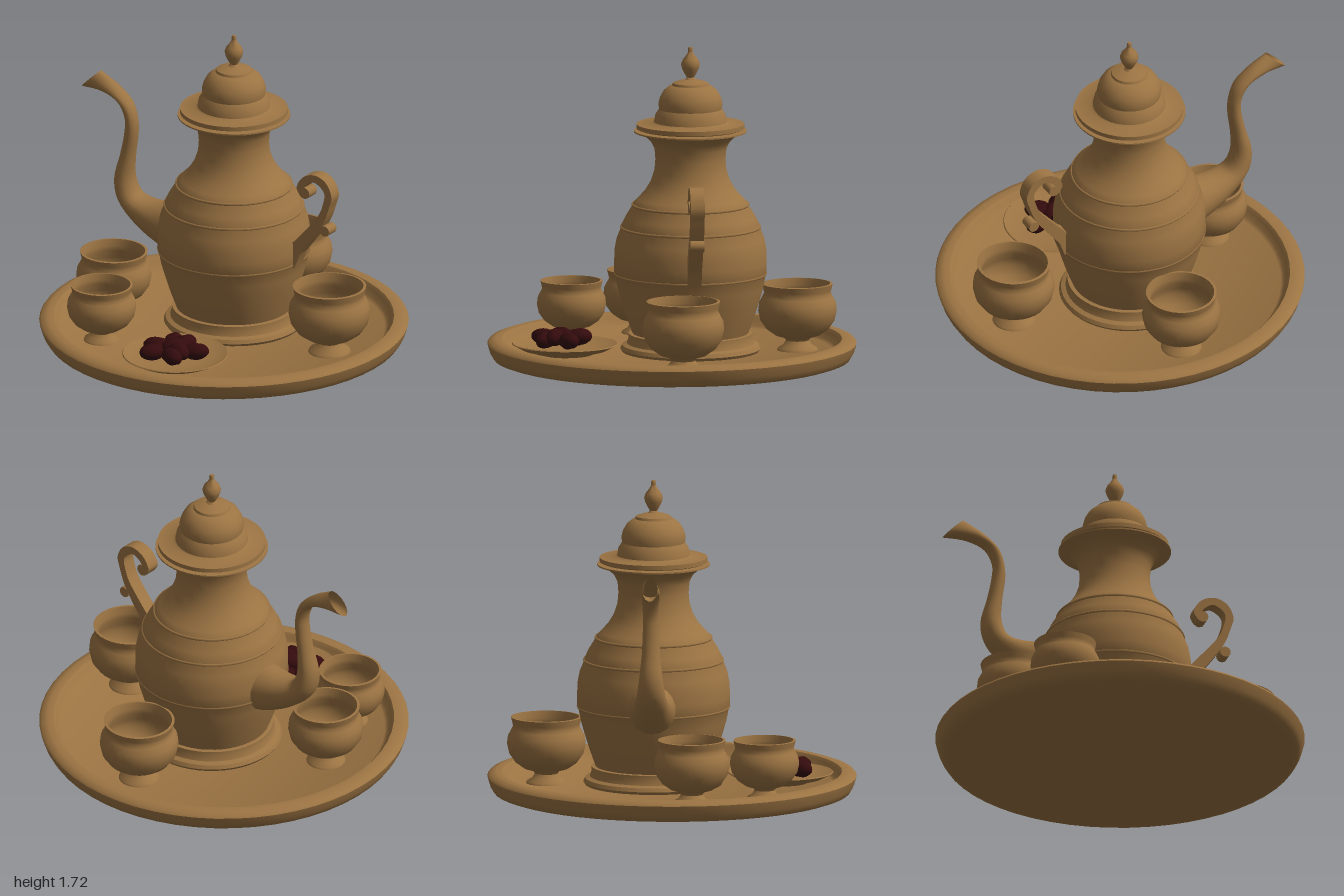
import * as THREE from 'three';
import { toCreasedNormals } from 'three/addons/utils/BufferGeometryUtils.js';

const brass = new THREE.MeshStandardMaterial({ color: 0x9c7443, side: THREE.DoubleSide });
brass.name = 'brass';
const dateSkin = new THREE.MeshStandardMaterial({ color: 0x330b0d });
dateSkin.name = 'dateSkin';

const FLOOR = 0.05;
const POT_Z = -0.1;
const vec2 = ([x, y]) => new THREE.Vector2(x, y);
const vec3 = ([x, y]) => new THREE.Vector3(x, y, 0);

function add(parent, name, geometry, material = brass) {
  const mesh = new THREE.Mesh(geometry, material);
  mesh.name = name;
  parent.add(mesh);
  return mesh;
}

// Turned part from [radius, height] points, listed from the bottom up the outside
function turned(profile, sides = 48) {
  return toCreasedNormals(new THREE.LatheGeometry(profile.map(vec2), sides), 0.7);
}

// Oval tube between an outer and an inner edge line, with half widths in z
function ovalTube(outer, inner, widths, rings = 40, sides = 18) {
  const a = new THREE.CatmullRomCurve3(outer.map(vec3));
  const b = new THREE.CatmullRomCurve3(inner.map(vec3));
  const pos = [], index = [];
  for (let i = 0; i <= rings; i++) {
    const t = i / rings;
    const p = a.getPoint(t), q = b.getPoint(t);
    const f = t * (widths.length - 1), k = Math.min(Math.floor(f), widths.length - 2);
    const w = THREE.MathUtils.lerp(widths[k], widths[k + 1], f - k);
    for (let j = 0; j < sides; j++) {
      const ang = (j / sides) * Math.PI * 2;
      const m = p.clone().lerp(q, 0.5 + 0.5 * Math.cos(ang));
      pos.push(m.x, m.y, -w * Math.sin(ang));
      if (i === rings) continue;
      const n = (j + 1) % sides, r = i * sides, s = r + sides;
      index.push(r + j, r + n, s + j, r + n, s + n, s + j);
    }
  }
  const g = new THREE.BufferGeometry();
  g.setAttribute('position', new THREE.Float32BufferAttribute(pos, 3));
  g.setIndex(index);
  g.computeVertexNormals();
  return g;
}

function buildPot() {
  const pot = new THREE.Group();
  pot.name = 'coffeePot';
  pot.position.z = POT_Z;

  add(pot, 'potBase', turned([
    [0.0, FLOOR], [0.37, FLOOR], [0.38, 0.065], [0.37, 0.085], [0.345, 0.095],
    [0.335, 0.12], [0.335, 0.148], [0.3, 0.152], [0, 0.152],
  ]));
  add(pot, 'potBody', turned([
    [0.31, 0.14], [0.325, 0.18], [0.35, 0.25], [0.375, 0.33], [0.395, 0.4], [0.407, 0.465],
    [0.413, 0.475], [0.413, 0.54], [0.412, 0.6], [0.4, 0.665], [0.376, 0.725], [0.376, 0.735],
    [0.352, 0.785], [0.315, 0.845], [0.312, 0.858], [0.285, 0.885], [0.245, 0.93],
    [0.215, 0.98], [0.195, 1.04], [0.19, 1.1], [0.195, 1.16], [0.215, 1.2], [0.25, 1.232],
    [0.305, 1.25], [0.305, 1.258], [0.24, 1.262], [0, 1.262],
  ]));
  // Thin raised bands round the body
  for (const [y, r] of [[0.475, 0.408], [0.73, 0.374], [0.852, 0.312]]) {
    const band = add(pot, 'bodyBand', new THREE.TorusGeometry(r, 0.008, 6, 48));
    band.rotation.x = Math.PI / 2;
    band.position.y = y;
  }
  add(pot, 'lid', turned([
    [0, 1.262], [0.28, 1.265], [0.292, 1.27], [0.292, 1.294], [0.21, 1.297], [0.197, 1.305],
    [0.19, 1.345], [0.17, 1.375], [0.174, 1.405], [0.165, 1.44], [0.145, 1.475],
    [0.115, 1.5], [0.1, 1.505], [0.095, 1.518], [0.06, 1.53], [0.03, 1.537], [0, 1.54],
  ]));
  add(pot, 'lidFinial', turned([
    [0.035, 1.53], [0.02, 1.548], [0.03, 1.565], [0.045, 1.595], [0.051, 1.62], [0.042, 1.645],
    [0.022, 1.67], [0.012, 1.688], [0.014, 1.7], [0.01, 1.713], [0, 1.715],
  ], 16));

  add(pot, 'spout', ovalTube(
    [[-0.32, 0.37], [-0.42, 0.395], [-0.6, 0.49], [-0.73, 0.62], [-0.755, 0.74], [-0.72, 0.88],
      [-0.695, 1.0], [-0.69, 1.09], [-0.735, 1.18], [-0.83, 1.215], [-0.97, 1.215]],
    [[-0.32, 0.665], [-0.41, 0.655], [-0.52, 0.645], [-0.6, 0.66], [-0.64, 0.74], [-0.638, 0.87],
      [-0.62, 1.01], [-0.627, 1.1], [-0.66, 1.18], [-0.75, 1.262], [-0.855, 1.325]],
    [0.14, 0.125, 0.1, 0.08, 0.065, 0.05, 0.045, 0.045, 0.05, 0.05, 0.042],
  ));

  // Flat scrolled handle
  const shape = new THREE.Shape();
  shape.moveTo(0.38, 0.46);
  shape.lineTo(0.42, 0.465);
  shape.lineTo(0.45, 0.55);
  shape.splineThru([[0.59, 0.74], [0.64, 0.86], [0.655, 0.93], [0.62, 1.0], [0.55, 1.03],
    [0.475, 1.005], [0.433, 0.94], [0.455, 0.89]].map(vec2));
  shape.lineTo(0.5, 0.9);
  shape.splineThru([[0.475, 0.935], [0.51, 0.975], [0.555, 0.985], [0.608, 0.94], [0.6, 0.87],
    [0.56, 0.785], [0.42, 0.62]].map(vec2));
  shape.lineTo(0.38, 0.6);
  const strap = new THREE.ExtrudeGeometry(shape, { depth: 0.076, bevelEnabled: false, curveSegments: 20 });
  strap.translate(0, 0, -0.028);
  add(pot, 'handle', toCreasedNormals(strap, 0.6));
  for (const [x, y, r] of [[0.482, 0.912, 0.032], [0.61, 0.718, 0.03]]) {
    const curl = add(pot, 'handleCurl', toCreasedNormals(new THREE.CylinderGeometry(r, r, 0.076, 16), 0.6));
    curl.rotation.x = Math.PI / 2;
    curl.position.set(x, y, 0.01);
  }
  return pot;
}

export function createModel() {
  const model = new THREE.Group();
  model.name = 'coffeeSet';

  add(model, 'tray', turned([
    [0, 0], [0.93, 0], [0.965, 0.012], [0.985, 0.045], [1, 0.095], [0.99, 0.108], [0.955, 0.12],
    [0.92, 0.118], [0.905, 0.1], [0.89, 0.062], [0.87, FLOOR], [0, FLOOR],
  ], 56));

  model.add(buildPot());

  // Footed cups: x, z, scale
  const cup = turned([
    [0, 0], [0.115, 0], [0.11, 0.012], [0.08, 0.03], [0.065, 0.055], [0.075, 0.07], [0.125, 0.085],
    [0.175, 0.12], [0.21, 0.17], [0.222, 0.225], [0.217, 0.27], [0.198, 0.305], [0.188, 0.325],
    [0.192, 0.345], [0.2, 0.378], [0.185, 0.38], [0.175, 0.34], [0.175, 0.31], [0.197, 0.26],
    [0.2, 0.22], [0.185, 0.165], [0.14, 0.12], [0.08, 0.1], [0, 0.095],
  ], 32);
  for (const [x, z, s] of [[0.67, -0.01, 1], [0.01, -0.68, 0.96], [-0.63, 0.12, 0.92], [-0.46, 0.51, 0.845]]) {
    const c = add(model, 'cup', cup);
    c.position.set(x, FLOOR, z);
    c.scale.setScalar(s);
  }

  const dish = add(model, 'dish', turned([
    [0, 0], [0.15, 0], [0.165, 0.008], [0.23, 0.025], [0.287, 0.055], [0.283, 0.06],
    [0.23, 0.04], [0.15, 0.03], [0, 0.027],
  ], 40));
  dish.position.set(0.06, FLOOR, 0.585);

  // Wrinkled dates: x, y, z, turn, tilt
  const date = new THREE.SphereGeometry(1, 16, 12);
  const p = date.attributes.position;
  for (let i = 0; i < p.count; i++) {
    const ang = Math.atan2(p.getZ(i), p.getY(i));
    const k = 1 + 0.05 * Math.sin(ang * 5 + p.getX(i) * 3);
    p.setXYZ(i, p.getX(i) * 0.074, p.getY(i) * 0.045 * k, p.getZ(i) * 0.05 * k);
  }
  date.computeVertexNormals();
  [[0.0, 0.135, 0.505, 1.8, 0], [0.08, 0.145, 0.52, 1.3, 0.1], [-0.055, 0.13, 0.59, 0.4, 0],
    [0.185, 0.14, 0.575, 0.4, 0.1], [0.07, 0.155, 0.61, 0.8, 0.1], [-0.015, 0.135, 0.695, 0.9, 0],
    [0.11, 0.135, 0.695, -0.5, 0], [0.12, 0.15, 0.645, -0.4, -0.1]].forEach(([x, y, z, turn, tilt]) => {
    const d = add(model, 'date', date, dateSkin);
    d.position.set(x, y, z);
    d.rotation.set(0, turn, tilt);
  });

  return model;
}
